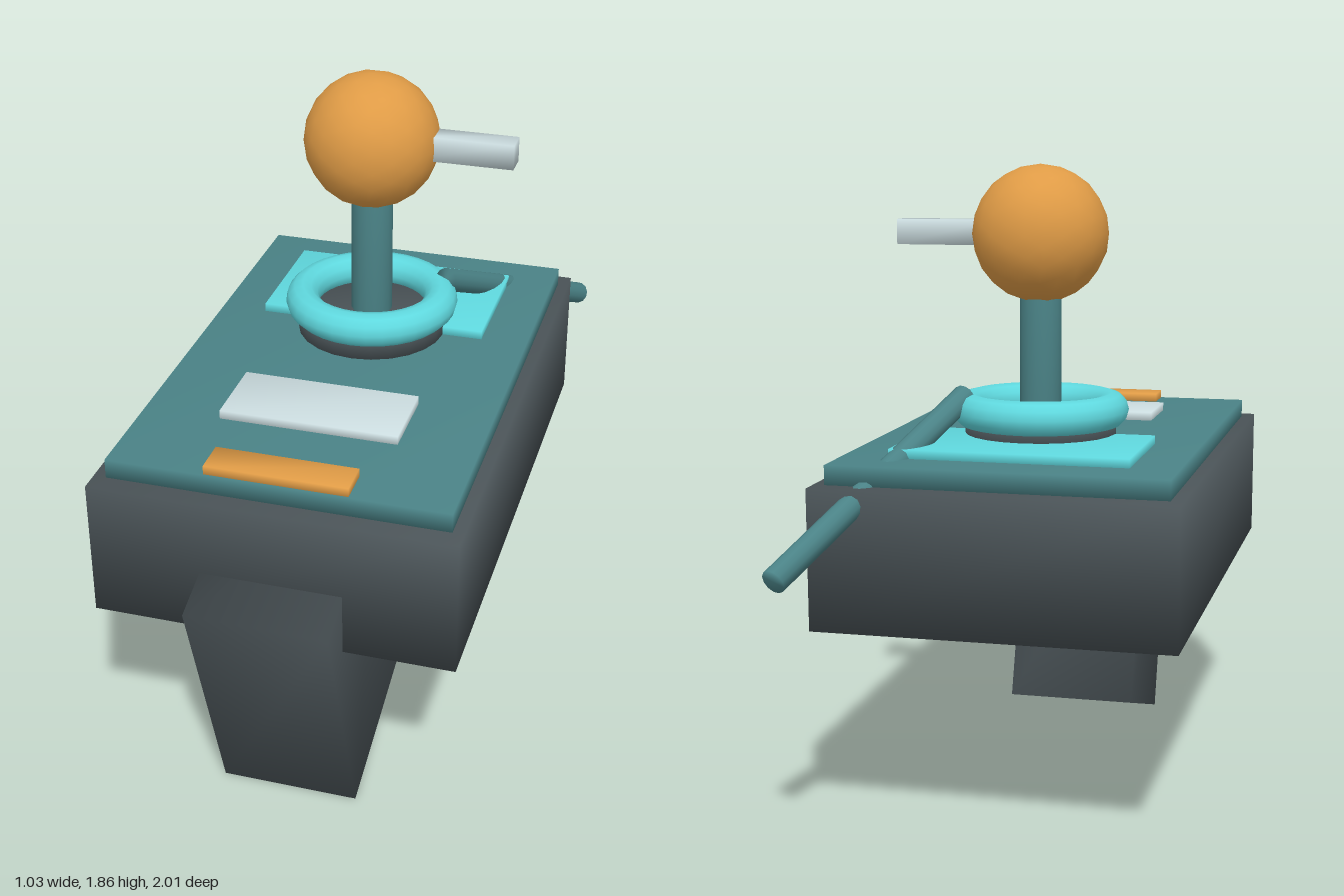
import * as THREE from 'three';
import { mergeVertices } from 'three/addons/utils/BufferGeometryUtils.js';

const paint = (name, color) => {
  const m = new THREE.MeshStandardMaterial({ color });
  m.name = name;
  return m;
};

// Weld shared corners so that normals run smoothly over every edge
function soften(geometry) {
  geometry.deleteAttribute('normal');
  geometry.deleteAttribute('uv');
  const welded = mergeVertices(geometry, 1e-4);
  welded.computeVertexNormals();
  return welded;
}

export function createModel() {
  const model = new THREE.Group();
  model.name = 'joystickController';

  const charcoal = paint('charcoal', 0x4a5357);
  const teal = paint('teal', 0x4a8286);
  const cyan = paint('cyan', 0x5fd8de);
  const orange = paint('orange', 0xdf9b46);
  const silver = paint('silver', 0xcbdcdf);

  function add(name, geometry, material, x = 0, y = 0, z = 0) {
    const mesh = new THREE.Mesh(soften(geometry), material);
    mesh.name = name;
    mesh.position.set(x, y, z);
    model.add(mesh);
    return mesh;
  }

  // Box given by its lower and upper limits on each axis
  function block(name, material, [x0, x1], [y0, y1], [z0, z1]) {
    return add(name, new THREE.BoxGeometry(x1 - x0, y1 - y0, z1 - z0), material,
      (x0 + x1) / 2, (y0 + y1) / 2, (z0 + z1) / 2);
  }

  // Housing and the panel on top of it
  block('body', charcoal, [-0.52, 0.492], [0.625, 1.02], [-0.707, 0.872]);
  block('topPanel', teal, [-0.485, 0.46], [1.01, 1.075], [-0.65, 0.815]);

  // Slanted hand grip below the front
  const grip = add('grip', new THREE.BoxGeometry(0.395, 0.795, 0.48), charcoal, -0.013, 0.457, 0.652);
  grip.rotation.x = 0.32;

  // Raised plates on the panel
  block('rearPlate', cyan, [-0.35, 0.325], [1.06, 1.1], [-0.51, -0.115]);
  block('displayPlate', silver, [-0.265, 0.24], [1.06, 1.1], [0.305, 0.53]);
  block('frontButton', orange, [-0.21, 0.185], [1.06, 1.1], [0.71, 0.81]);

  // Joystick: collar, ring, shaft, ball and side bar share one axis
  const X = -0.013, Z = -0.117;
  add('collar', new THREE.CylinderGeometry(0.22, 0.22, 0.08, 24), charcoal, X, 1.1, Z);
  const ring = add('ring', new THREE.TorusGeometry(0.206, 0.05, 12, 32), cyan, X, 1.167, Z);
  ring.rotation.x = Math.PI / 2;
  add('shaft', new THREE.CylinderGeometry(0.061, 0.061, 0.46, 16), teal, X, 1.31, Z);
  add('ball', new THREE.IcosahedronGeometry(0.196, 3), orange, X, 1.672, Z);
  block('sideBar', silver, [0.11, 0.405], [1.638, 1.71], [Z - 0.036, Z + 0.036]);

  // Rod running down through the panel and out at the back
  const top = new THREE.Vector3(0.19, 1.21, -0.21);
  const end = new THREE.Vector3(0.478, 0.832, -0.984);
  const axis = top.clone().sub(end);
  const rod = add('rod', new THREE.CylinderGeometry(0.035, 0.035, axis.length(), 12), teal);
  rod.position.copy(top).add(end).multiplyScalar(0.5);
  rod.quaternion.setFromUnitVectors(new THREE.Vector3(0, 1, 0), axis.normalize());

  return model;
}
